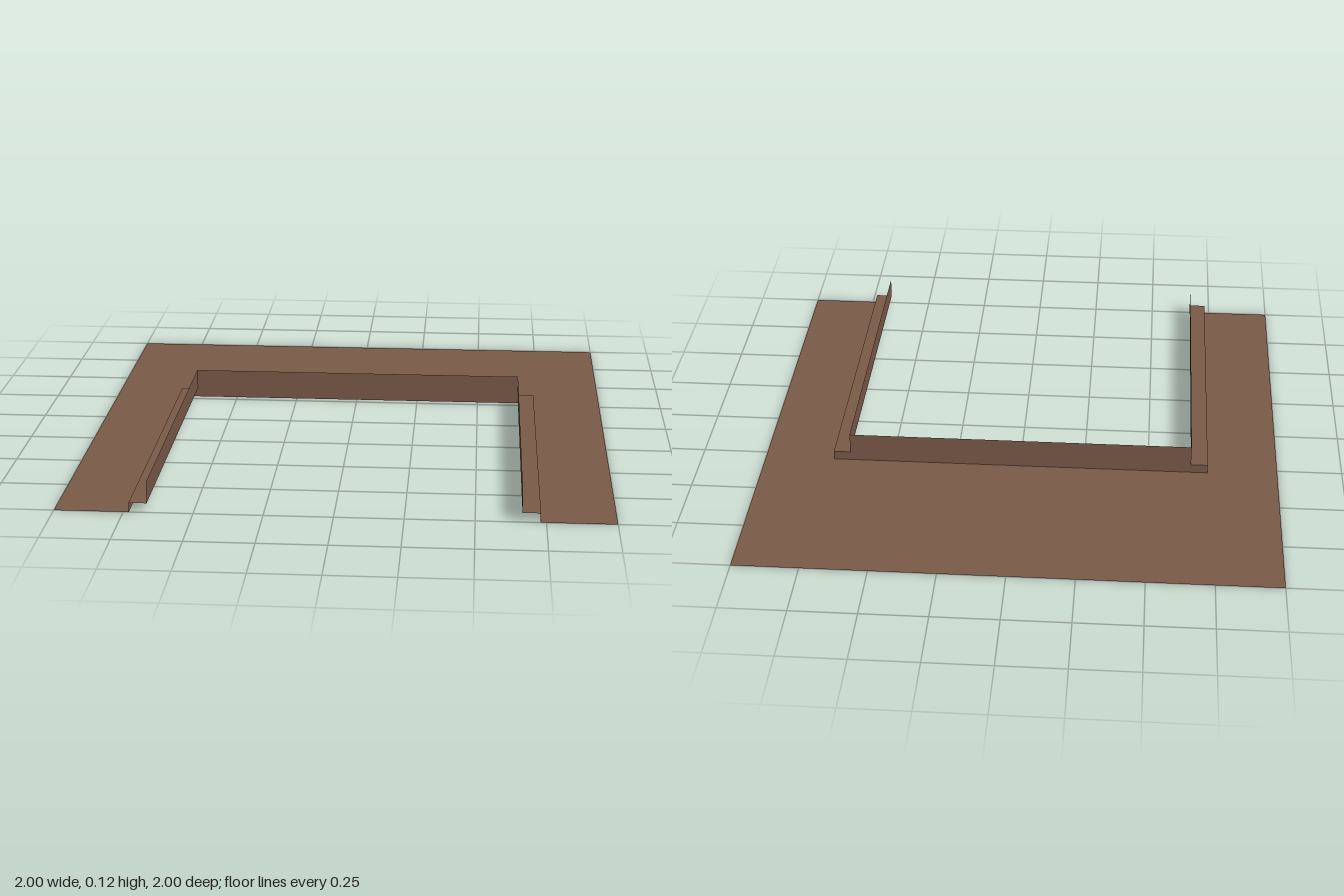
import * as THREE from 'three';

const STEP_X = 0.73, WALL_X = 0.665;     // half widths of the opening
const STEP_Y = 0.035, TOP_Y = 0.115;     // heights of the step and the upstand
const BACK_Z = -0.28, FRONT_Z = 1;

export function createModel() {
  const model = new THREE.Group();
  const brown = new THREE.MeshStandardMaterial({ color: 0x7b5a48, side: THREE.DoubleSide });

  const add = (name, geometry, parent = model) => {
    const mesh = new THREE.Mesh(geometry, brown);
    mesh.name = name;
    parent.add(mesh);
    return mesh;
  };
  const outline = (points) =>
    new THREE.ShapeGeometry(new THREE.Shape(points.map(([x, y]) => new THREE.Vector2(x, y))));

  // Flat U-shaped sheet, open toward the front (shape y becomes -z)
  add('baseSheet', outline([
    [-1, -FRONT_Z], [-STEP_X, -FRONT_Z], [-STEP_X, -BACK_Z], [STEP_X, -BACK_Z],
    [STEP_X, -FRONT_Z], [1, -FRONT_Z], [1, 1], [-1, 1],
  ]).rotateX(-Math.PI / 2));

  // Stepped upright panel across the back of the opening
  add('backUpstand', outline([
    [-STEP_X, 0], [STEP_X, 0], [STEP_X, STEP_Y], [WALL_X, STEP_Y],
    [WALL_X, TOP_Y], [-WALL_X, TOP_Y], [-WALL_X, STEP_Y], [-STEP_X, STEP_Y],
  ]).translate(0, 0, BACK_Z));

  // Folded flashing along each arm: riser, tread and upstand
  const length = FRONT_Z - BACK_Z, midZ = (FRONT_Z + BACK_Z) / 2;
  for (const side of [-1, 1]) {
    const flashing = new THREE.Group();
    flashing.name = side > 0 ? 'leftFlashing' : 'rightFlashing';
    model.add(flashing);
    const upright = (name, x, y0, y1) => add(name,
      new THREE.PlaneGeometry(length, y1 - y0).rotateY(side * Math.PI / 2)
        .translate(side * x, (y0 + y1) / 2, midZ), flashing);
    upright('riser', STEP_X, 0, STEP_Y);
    upright('upstand', WALL_X, STEP_Y, TOP_Y);
    add('tread', new THREE.PlaneGeometry(STEP_X - WALL_X, length).rotateX(-Math.PI / 2)
      .translate(side * (STEP_X + WALL_X) / 2, STEP_Y, midZ), flashing);
  }
  return model;
}
